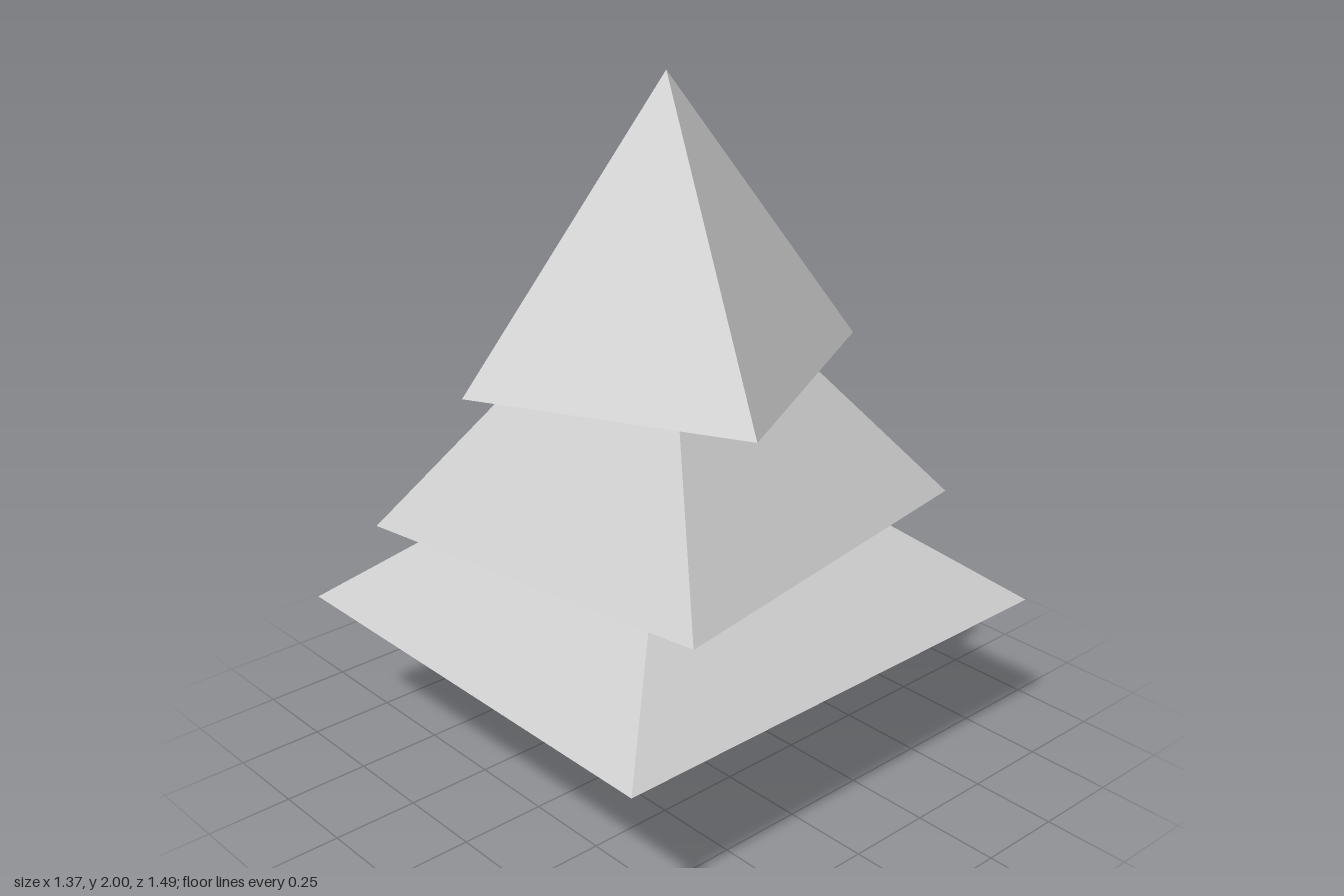
import * as THREE from 'three';

const material = new THREE.MeshStandardMaterial({
  color: 0xcccccc, flatShading: true, side: THREE.DoubleSide,
});

// Hollow four-sided pyramid, open underneath
function makeTier({ name, width, depth, base, apex, turn, z }) {
  const geometry = new THREE.ConeGeometry(Math.SQRT1_2, 1, 4, 1, true);
  geometry.rotateY(Math.PI / 4);
  geometry.translate(0, 0.5, 0);
  geometry.scale(width, apex - base, depth);
  const tier = new THREE.Mesh(geometry, material);
  tier.name = name;
  tier.position.set(0, base, z);
  tier.rotation.y = turn;
  return tier;
}

// Square trunk that twists and flares towards the top
function makeTrunk() {
  const rings = [
    { y: 0, radius: 0.13, turn: 0.4 },
    { y: 0.48, radius: 0.18, turn: 0.62 },
    { y: 0.73, radius: 0.25, turn: 0.82 },
  ];
  const geometry = new THREE.CylinderGeometry(1, 1, 2, 4, 2);
  const position = geometry.attributes.position;
  const up = new THREE.Vector3(0, 1, 0);
  const v = new THREE.Vector3();
  for (let i = 0; i < position.count; i++) {
    v.fromBufferAttribute(position, i);
    const ring = rings[Math.round(v.y + 1)];
    v.set(v.x * ring.radius, ring.y, v.z * ring.radius).applyAxisAngle(up, ring.turn);
    position.setXYZ(i, v.x, v.y, v.z);
  }
  geometry.computeVertexNormals();
  const trunk = new THREE.Mesh(geometry, material);
  trunk.name = 'trunk';
  trunk.position.set(-0.01, 0, -0.01);
  return trunk;
}

export function createModel() {
  const tree = new THREE.Group();
  tree.name = 'tree';
  tree.add(makeTrunk());

  // Foliage, each tier turned a little further than the one below
  const tiers = [
    { name: 'lowerFoliage', width: 1.37, depth: 1.49, base: 0.48, apex: 1.075, turn: 0, z: 0 },
    { name: 'middleFoliage', width: 1.1, depth: 1.17, base: 0.77, apex: 1.585, turn: 0.165, z: 0.0175 },
    { name: 'upperFoliage', width: 0.803, depth: 0.854, base: 1.2, apex: 2, turn: 0.472, z: 0.0175 },
  ];
  for (const tier of tiers) tree.add(makeTier(tier));
  return tree;
}
